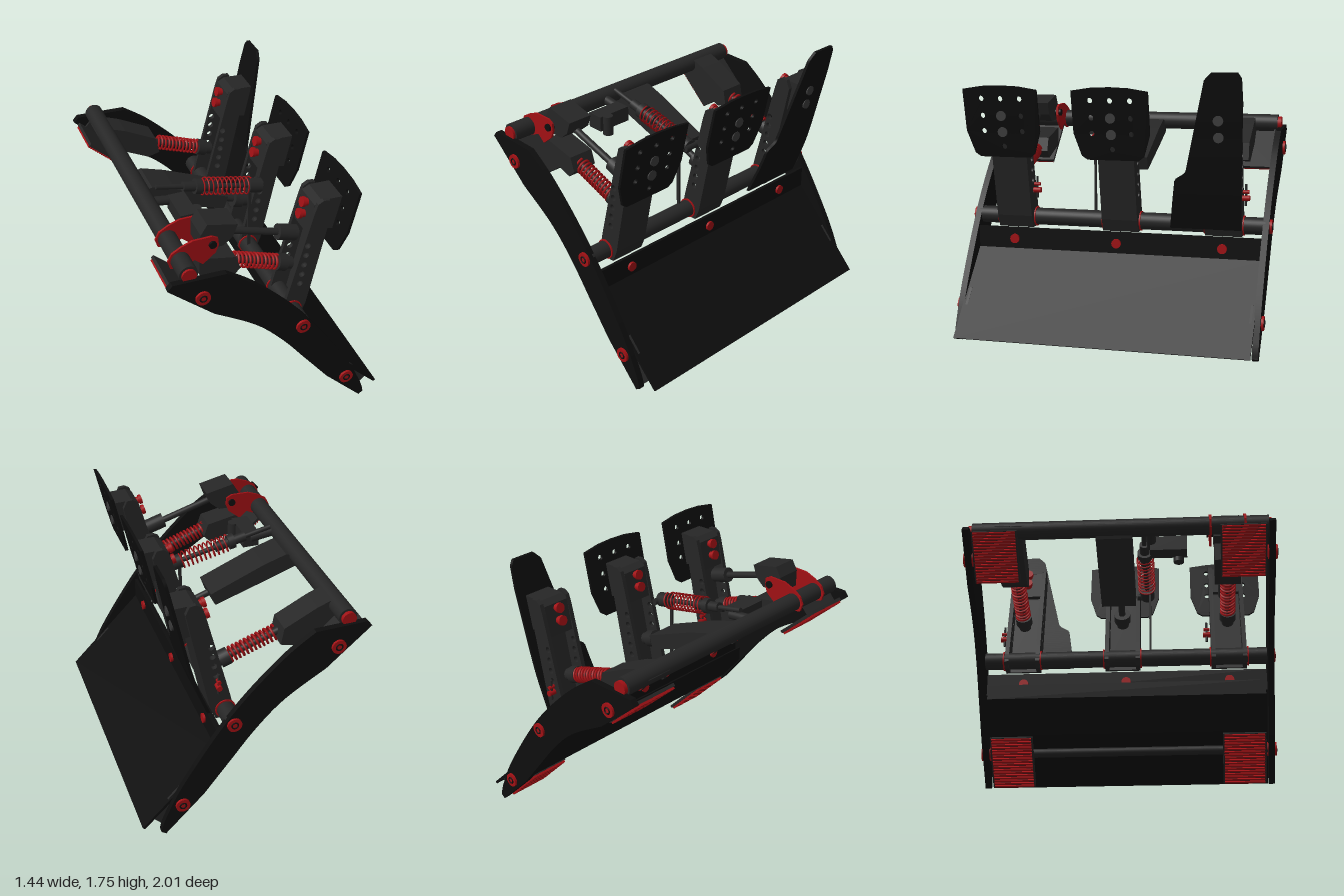
import * as THREE from 'three';

const mat = (color) => new THREE.MeshStandardMaterial({ color, side: THREE.DoubleSide });
const black = mat(0x0e0e0e), grey = mat(0x262626), red = mat(0xa01014), steel = mat(0x3a3a3a);
const V = (x, y, z) => new THREE.Vector3(x, y, z);

export function createModel() {
  const root = new THREE.Group();
  const add = (name, geo, m, parent = root) => {
    const mesh = new THREE.Mesh(geo, m);
    mesh.name = name;
    parent.add(mesh);
    return mesh;
  };
  const shapeOf = (pts) => new THREE.Shape(pts.map((p) => new THREE.Vector2(p[0], p[1])));
  const drill = (shape, holes, r) => {
    for (const [x, y] of holes) shape.holes.push(new THREE.Path().absarc(x, y, r, 0, Math.PI * 2, true));
    return shape;
  };
  // Side-profile plate, centred on z
  const plate = (name, shape, z, depth, m, parent) => {
    const geo = new THREE.ExtrudeGeometry(shape, { depth, bevelEnabled: false, curveSegments: 14 });
    return add(name, geo.translate(0, 0, z - depth / 2), m, parent);
  };
  // Round bar between two points
  const bar = (name, a, b, r, m, parent, sides = 24) => {
    const d = b.clone().sub(a);
    const mesh = add(name, new THREE.CylinderGeometry(r, r, d.length(), sides), m, parent);
    mesh.position.copy(a).add(b).multiplyScalar(0.5);
    mesh.quaternion.setFromUnitVectors(V(0, 1, 0), d.normalize());
    return mesh;
  };
  const boltZ = (name, x, y, z, r, len, parent) =>
    bar(name, V(x, y, z - len / 2), V(x, y, z + len / 2), r, red, parent);
  // Coil spring between two points in a plane of constant z
  const spring = (name, a, b, r, turns, wire, m, parent) => {
    const axis = b.clone().sub(a), side = V(-axis.y, axis.x, 0).normalize();
    const curve = new THREE.Curve();
    curve.getPoint = (t, target = V(0, 0, 0)) => {
      const k = t * turns * Math.PI * 2;
      return target.copy(a).addScaledVector(axis, t).addScaledVector(side, r * Math.cos(k))
        .add(V(0, 0, r * Math.sin(k)));
    };
    add(name, new THREE.TubeGeometry(curve, turns * 18, wire, 6), m, parent);
  };

  // Curved side rails with bolt caps
  const rail = new THREE.Shape();
  rail.moveTo(-0.72, 1.3);
  rail.lineTo(-0.69, 1.335);
  rail.lineTo(-0.36, 1.325);
  rail.splineThru([[-0.18, 1.19], [0.05, 0.96], [0.24, 0.72], [0.47, 0.36], [0.58, 0.13], [0.61, 0.03]]
    .map((p) => new THREE.Vector2(...p)));
  rail.lineTo(0.58, 0.01);
  rail.lineTo(0.33, 0.27);
  rail.splineThru([[0.17, 0.48], [0, 0.7], [-0.18, 0.88], [-0.44, 1.05]].map((p) => new THREE.Vector2(...p)));
  for (const s of [-1, 1]) {
    plate('sideRail', rail, s * 0.965, 0.04, black);
    for (const [x, y] of [[-0.51, 1.195], [0.14, 0.765], [0.47, 0.22]]) {
      boltZ('railBolt', x, y, s * 0.97, 0.046, 0.06);
      const ring = add('boltRing', new THREE.TorusGeometry(0.02, 0.005, 6, 20), black);
      ring.position.set(x, y, s * 1.0);
    }
    boltZ('tubeEndCap', -0.58, 1.355, s * 0.95, 0.045, 0.03);
  }

  // Cross tubes
  bar('upperTube', V(-0.58, 1.357, -0.94), V(-0.58, 1.357, 0.95), 0.058, grey, root, 32);
  bar('lowerTube', V(0.14, 0.765, -0.96), V(0.14, 0.765, 0.96), 0.056, grey, root, 32);
  bar('footTube', V(0.47, 0.22, -0.96), V(0.47, 0.22, 0.96), 0.03, grey);

  // Heel plate with upright flange, and the brace under it
  plate('heelPlate', shapeOf([[0.72, 0.06], [0.235, 0.56], [0.235, 0.7], [0.215, 0.7], [0.215, 0.55], [0.705, 0.052]]),
    0, 1.9, black);
  plate('heelBrace', shapeOf([[0.16, 0.6], [0.16, 0.5], [0.32, 0.3], [0.33, 0.31], [0.17, 0.505], [0.17, 0.6]]),
    0, 1.86, black);
  for (const z of [0.695, 0, -0.695]) bar('heelBolt', V(0.2, 0.625, z), V(0.25, 0.625, z), 0.031, red);

  // Feet: sloping mounts with ridged pads
  const foot = (x0, y0, x1, y1, s) => {
    const g = new THREE.Group();
    g.name = 'foot';
    const len = Math.hypot(x1 - x0, y1 - y0);
    const base = add('footMount', new THREE.BoxGeometry(len, 0.02, 0.29), grey, g);
    base.position.y = 0.022;
    for (let i = 0; i < 18; i++) {
      const rib = add('footRidge', new THREE.BoxGeometry(len / 30, 0.016, 0.27), red, g);
      rib.position.set(((i + 0.5) / 18 - 0.5) * len, 0.006, 0);
    }
    const tab = add('footTab', new THREE.BoxGeometry(len * 0.8, 0.12, 0.015), grey, g);
    tab.position.set(0.02, 0.08, s * 0.14);
    g.position.set((x0 + x1) / 2, (y0 + y1) / 2, s * 0.785);
    g.rotation.z = Math.atan2(y1 - y0, x1 - x0);
    root.add(g);
  };
  for (const s of [-1, 1]) {
    foot(-0.71, 1.28, -0.46, 1.045, s);
    foot(0.32, 0.275, 0.57, 0.01, s);
  }

  // Pedal arms, drawn once per pedal
  const armShape = drill(shapeOf([[0.08, 0.74], [0.11, 0.87], [0.265, 1.46], [0.285, 1.52], [0.32, 1.54], [0.36, 1.535],
    [0.385, 1.48], [0.35, 1.31], [0.235, 0.78], [0.2, 0.7], [0.11, 0.7]]),
  [[0.23, 1.23], [0.222, 1.16], [0.212, 1.09], [0.2, 1.02], [0.19, 0.95]], 0.02);
  const webShape = shapeOf([[0.235, 0.78], [0.35, 1.31], [0.385, 1.48], [0.355, 1.5], [0.32, 1.31], [0.2, 0.78], [0.18, 0.7], [0.2, 0.7]]);
  const clampShape = shapeOf([[0.275, 1.5], [0.32, 1.525], [0.455, 1.52], [0.402, 1.3], [0.3, 1.33], [0.235, 1.3]]);
  const faceX = new THREE.CatmullRomCurve3([V(0.245, 0.75, 0), V(0.34, 1.01, 0), V(0.432, 1.39, 0), V(0.515, 1.755, 0)]);
  const xAt = (y) => {
    let lo = 0, hi = 1;
    for (let i = 0; i < 20; i++) { const t = (lo + hi) / 2; if (faceX.getPoint(t).y < y) lo = t; else hi = t; }
    return faceX.getPoint(lo).x;
  };
  const centres = { clutch: 0.695, brake: -0.02, throttle: -0.695 };
  for (const [kind, zc] of Object.entries(centres)) {
    const g = new THREE.Group();
    g.name = kind + 'Pedal';
    g.position.z = zc;
    root.add(g);
    for (const s of [-1, 1]) {
      plate('armSide', armShape, s * 0.104, 0.028, grey, g);
      boltZ('pivotWasher', 0.14, 0.765, s * 0.125, 0.065, 0.008, g);
    }
    plate('armWeb', webShape, 0, 0.19, grey, g);
    plate('padClamp', clampShape, 0, 0.18, grey, g);
    for (const [x, y] of [[0.27, 1.47], [0.25, 1.39]]) {
      bar('clampBolt', V(x + 0.04, y - 0.01, 0), V(x - 0.025, y + 0.006, 0), 0.024, red, g);
      bar('clampBoltHead', V(x - 0.02, y + 0.005, 0), V(x - 0.04, y + 0.01, 0), 0.032, red, g);
    }
    for (const y of [1.46, 1.355]) bar('faceBolt', V(xAt(y), y, 0), V(xAt(y) + 0.02, y, 0), 0.032, steel, g);

    // Lower link at the arm: clevis, spring rod and coil
    const a = V(-0.24, 1.185, 0), b = V(0.17, 1.035, 0);
    const on = (t) => a.clone().lerp(b, t);
    bar('springRod', a, b, 0.022, grey, g);
    bar('springSeat', on(0.78), on(0.92), 0.055, grey, g);
    bar('rodEnd', on(0.9), on(1.02), 0.04, grey, g);
    if (kind !== 'brake') spring('returnSpring', on(0.05), on(0.79), 0.045, 12, 0.008, red, g);
    if (kind !== 'brake') {
      const z = kind === 'clutch' ? -0.145 : -0.14;
      boltZ('stopBolt', 0.19, 0.95, z, 0.018, 0.05, g);
      boltZ('stopBolt', 0.19, 0.99, z, 0.012, 0.04, g);
      bar('stopPin', V(0.19, 0.9, z), V(0.19, 1.04, z), 0.008, grey, g, 10);
    }
  }

  // Perforated foot pads, bent along the pedal face line
  const holes = [[0, 1.57], [0, 1.26]];
  for (const y of [1.57, 1.46, 1.36]) holes.push([-0.127, y], [0.127, y]);
  const padShape = drill(shapeOf([[-0.165, 1.19], [0.165, 1.19], [0.2, 1.215], [0.245, 1.36], [0.245, 1.63], [0.12, 1.65],
    [0, 1.655], [-0.12, 1.65], [-0.245, 1.63], [-0.245, 1.36], [-0.2, 1.215]]), holes, 0.018);
  for (const kind of ['clutch', 'brake']) {
    const geo = new THREE.ExtrudeGeometry(padShape, { depth: 0.018, bevelEnabled: false });
    geo.rotateY(Math.PI / 2);
    const p = geo.attributes.position;
    for (let i = 0; i < p.count; i++) p.setX(i, p.getX(i) + xAt(p.getY(i)) - 0.008);
    geo.computeVertexNormals();
    add(kind + 'Pad', geo, black).position.z = centres[kind];
  }

  // Long throttle plate: rows follow the face line and its stepped outline
  const edge = (pts, y) => {
    let i = 1;
    while (i < pts.length - 1 && pts[i][0] < y) i++;
    const [y0, z0] = pts[i - 1], [y1, z1] = pts[i];
    return z0 + (z1 - z0) * Math.min(1, Math.max(0, (y - y0) / (y1 - y0)));
  };
  const leftEdge = [[0.75, -0.36], [1.08, -0.41], [1.125, -0.48], [1.71, -0.615], [1.755, -0.66]];
  const rightEdge = [[0.75, -0.815], [1.57, -0.847], [1.72, -0.842], [1.755, -0.82]];
  const tg = new THREE.BoxGeometry(0.02, 1.005, 1, 1, 60, 1);
  const tp = tg.attributes.position;
  for (let i = 0; i < tp.count; i++) {
    const y = tp.getY(i) + 0.5025 + 0.75;
    tp.setXYZ(i, tp.getX(i) + xAt(y), y, tp.getZ(i) > 0 ? edge(leftEdge, y) : edge(rightEdge, y));
  }
  tg.computeVertexNormals();
  add('throttlePlate', tg, black);

  // Clutch housing: red cheek plates around a sensor block
  const cheek = shapeOf([[-0.655, 1.36], [-0.63, 1.41], [-0.57, 1.445], [-0.5, 1.47], [-0.38, 1.47], [-0.345, 1.45],
    [-0.34, 1.4], [-0.36, 1.35], [-0.44, 1.285], [-0.49, 1.33], [-0.58, 1.29], [-0.64, 1.31]]);
  for (const z of [0.58, 0.8]) {
    plate('clutchCheek', cheek, z, 0.014, red);
    bar('cheekBolt', V(-0.38, 1.415, z - 0.02), V(-0.38, 1.415, z + 0.02), 0.024, black);
  }
  plate('clutchBlock', shapeOf([[-0.44, 1.47], [-0.4, 1.535], [-0.21, 1.49], [-0.24, 1.41], [-0.3, 1.36], [-0.44, 1.36]]),
    0.69, 0.17, grey);
  plate('clutchSpringBlock', shapeOf([[-0.45, 1.3], [-0.22, 1.25], [-0.19, 1.16], [-0.24, 1.11], [-0.45, 1.18]]), 0.69, 0.17, grey);
  bar('clutchRod', V(-0.28, 1.41, 0.69), V(0.22, 1.25, 0.69), 0.022, grey);
  bar('clutchRodEnd', V(0.08, 1.295, 0.69), V(0.2, 1.257, 0.69), 0.05, grey);

  // Brake load block and throttle bracket, both slung from the upper tube
  plate('brakeBlock', shapeOf([[-0.6, 1.34], [-0.5, 1.37], [-0.35, 1.32], [0.01, 1.165], [-0.02, 1.08], [-0.42, 1.22], [-0.58, 1.28]]),
    -0.035, 0.23, grey);
  plate('throttleBracket', shapeOf([[-0.64, 1.36], [-0.58, 1.41], [-0.45, 1.36], [-0.24, 1.25], [-0.22, 1.14], [-0.3, 1.12], [-0.5, 1.22]]),
    -0.705, 0.17, grey);

  // Brake damper with loose coil, beside the brake arm
  const d0 = V(-0.5, 1.42, 0.15), d1 = V(0.2, 1.255, 0.15);
  const dOn = (t) => d0.clone().lerp(d1, t);
  bar('damperRod', d0, d1, 0.016, grey);
  bar('damperBody', dOn(0.25), dOn(0.55), 0.032, grey);
  bar('damperSeat', dOn(0.36), dOn(0.42), 0.05, grey);
  bar('damperEnd', dOn(0.88), dOn(1), 0.048, grey);
  bar('damperPin', V(0.2, 1.255, 0.08), V(0.2, 1.255, 0.19), 0.022, grey);
  spring('damperSpring', dOn(0.42), dOn(0.89), 0.055, 11, 0.005, red);
  add('damperStrap', new THREE.BoxGeometry(0.02, 0.5, 0.014), grey).position.set(0.12, 0.98, 0.17);

  // Position sensor on the upper tube
  add('sensorBox', new THREE.BoxGeometry(0.11, 0.1, 0.24), grey).position.set(-0.385, 1.32, 0.31);
  bar('sensorKnob', V(-0.32, 1.24, 0.375), V(-0.32, 1.37, 0.375), 0.034, grey);
  bar('sensorArm', V(-0.58, 1.36, 0.2), V(-0.38, 1.33, 0.2), 0.03, grey);
  return root;
}
